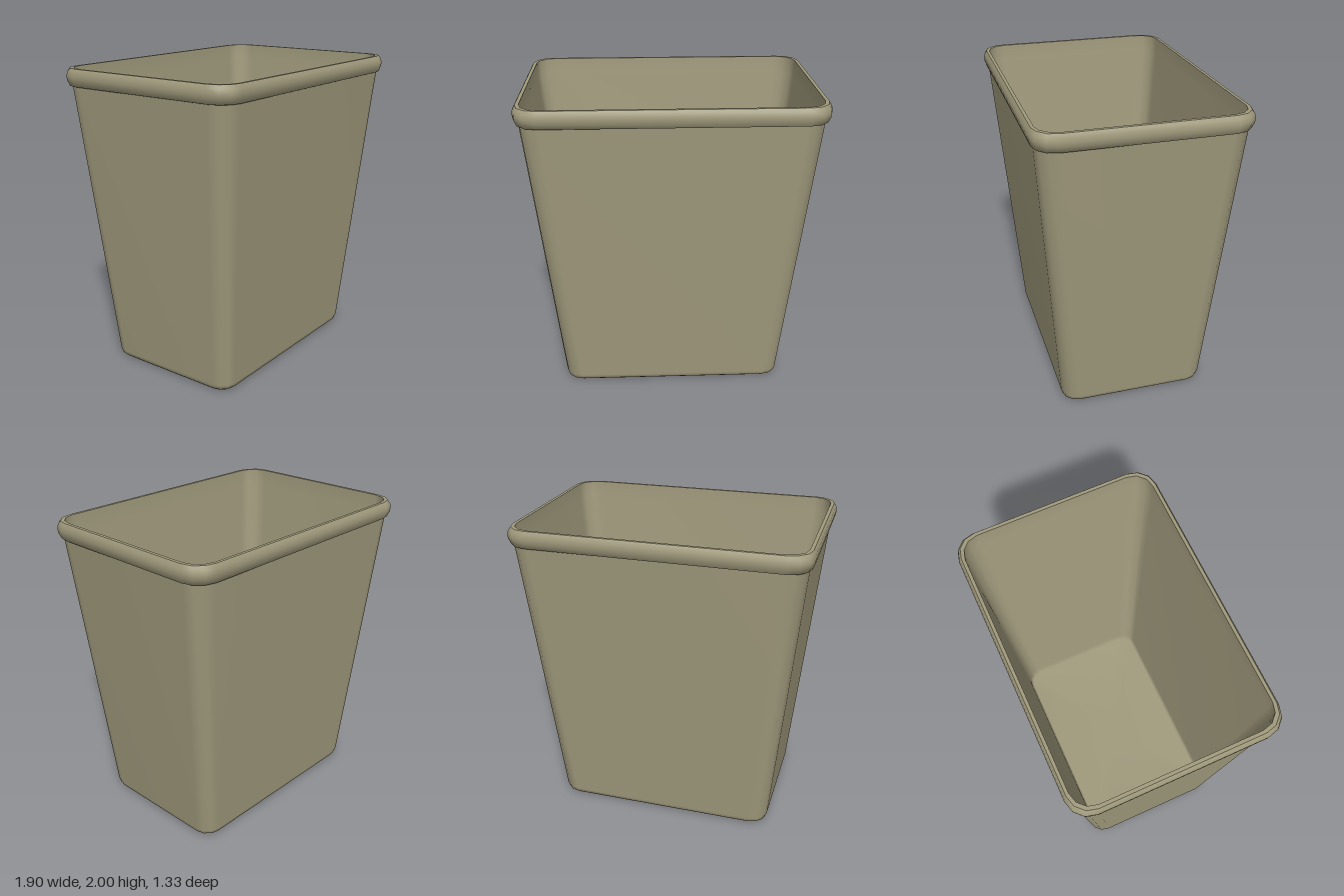
import * as THREE from 'three';

const CORNER_STEPS = 3;

// Rounded rectangle in the xz plane: half width, half depth, corner radius, height
function ring([w, d, r, y]) {
  const pts = [];
  [[1, 1], [-1, 1], [-1, -1], [1, -1]].forEach(([sx, sz], q) => {
    for (let k = 0; k <= CORNER_STEPS; k++) {
      const a = (q + k / CORNER_STEPS) * Math.PI / 2;
      pts.push([sx * (w - r) + r * Math.cos(a), y, sz * (d - r) + r * Math.sin(a)]);
    }
  });
  return pts;
}

// Smooth skin through a list of cross-sections
function loft(name, sections, material) {
  const rings = sections.map(ring);
  const n = rings[0].length;
  const index = [];
  for (let i = 0; i < rings.length - 1; i++) {
    for (let j = 0; j < n; j++) {
      const k = (j + 1) % n;
      const a = i * n + j, b = i * n + k, c = b + n, d = a + n;
      index.push(a, d, c, a, c, b);
    }
  }
  const geo = new THREE.BufferGeometry();
  geo.setAttribute('position', new THREE.Float32BufferAttribute(rings.flat(2), 3));
  geo.setIndex(index);
  geo.computeVertexNormals();
  const mesh = new THREE.Mesh(geo, material);
  mesh.name = name;
  return mesh;
}

export function createModel() {
  const plastic = new THREE.MeshStandardMaterial({ color: 0xa09a7c });
  plastic.name = 'khaki plastic';
  const group = new THREE.Group();
  group.name = 'wasteBin';

  // Tapered outside with a softened foot
  group.add(loft('outerShell', [
    [0, 0, 0, 0],
    [0.71, 0.46, 0.09, 0],
    [0.727, 0.477, 0.1, 0.015],
    [0.737, 0.487, 0.105, 0.045],
    [0.922, 0.64, 0.13, 1.89],
  ], plastic));

  // Rolled rim
  group.add(loft('rim', [
    [0.918, 0.636, 0.13, 1.885],
    [0.936, 0.652, 0.135, 1.89],
    [0.95, 0.664, 0.14, 1.925],
    [0.952, 0.667, 0.14, 1.95],
    [0.948, 0.662, 0.14, 1.978],
    [0.934, 0.648, 0.135, 2],
  ], plastic));

  // Flat lip on top of the rim
  group.add(loft('lip', [
    [0.934, 0.648, 0.135, 2],
    [0.912, 0.628, 0.125, 2],
  ], plastic));

  // Inside walls and floor
  group.add(loft('innerShell', [
    [0.912, 0.628, 0.125, 2],
    [0.91, 0.626, 0.125, 1.89],
    [0.722, 0.468, 0.1, 0.05],
    [0.7, 0.45, 0.09, 0.02],
    [0, 0, 0, 0.02],
  ], plastic));

  return group;
}
